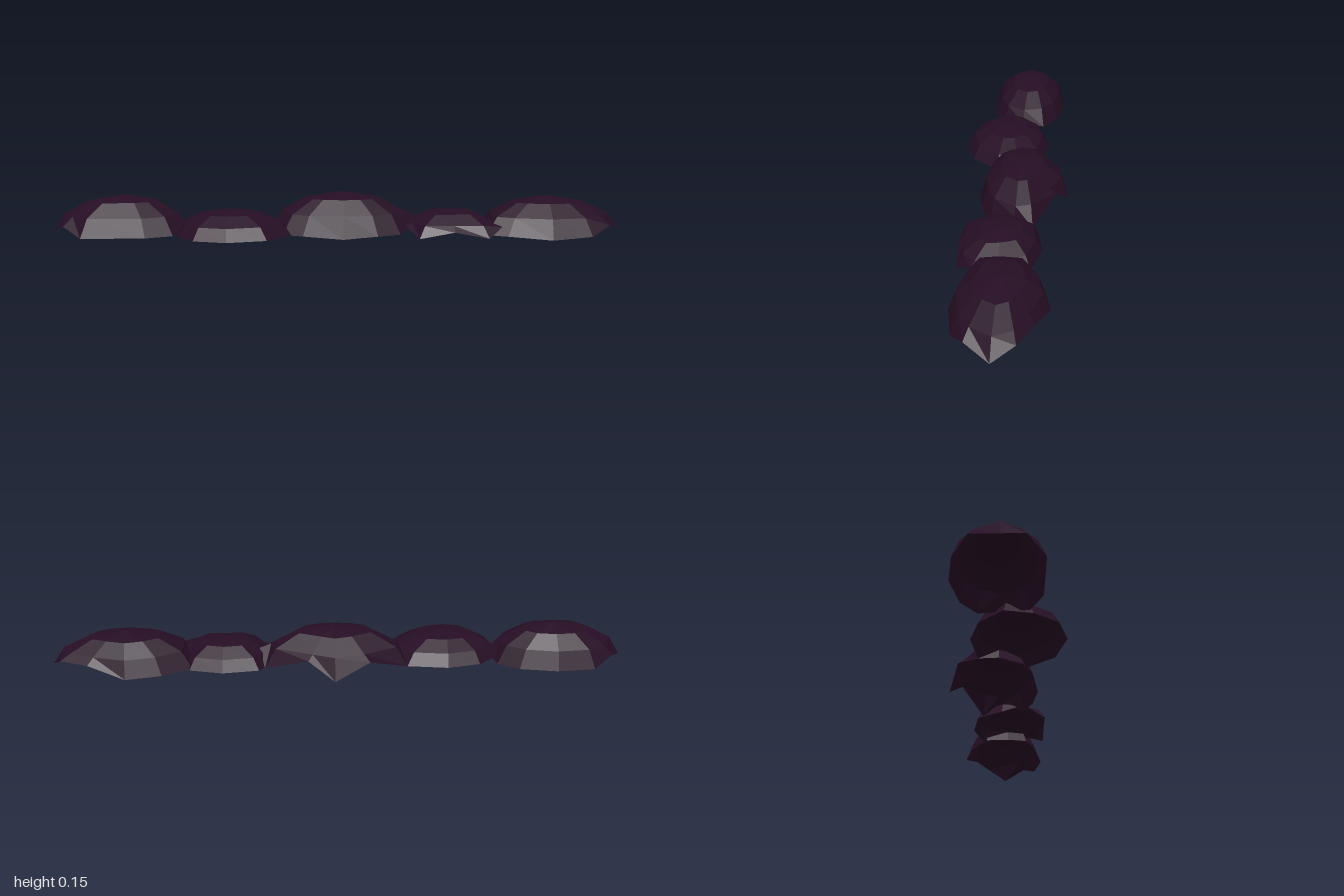
import * as THREE from 'three';

// Shell rings from crown to hem: share of the radius, share of the height
const RINGS = [[0.5, 0.85], [0.84, 0.52]];
const HEM = 0.008;

// Each pad: crown [x, y, z] and its hem clockwise from above as [x, z, raised y]
const PADS = [
  {
    name: 'rightEndPad', crown: [-0.75, 0.14, -0.02],
    hem: [[-1, 0], [-0.95, -0.09, 0.04], [-0.88, -0.14], [-0.75, -0.155], [-0.62, -0.13], [-0.55, -0.08],
      [-0.52, 0, 0.03], [-0.57, 0.08], [-0.66, 0.12], [-0.88, 0.125], [-0.95, 0.07, 0.04]],
  },
  {
    name: 'rightInnerPad', crown: [-0.38, 0.098, 0.04],
    hem: [[-0.57, 0], [-0.49, -0.08], [-0.375, -0.11], [-0.235, -0.09], [-0.17, -0.01, 0.03], [-0.16, 0.07],
      [-0.24, 0.165], [-0.375, 0.2], [-0.49, 0.17], [-0.55, 0.09]],
  },
  {
    name: 'middlePad', crown: [0.02, 0.148, -0.035],
    hem: [[-0.235, -0.09], [-0.1, -0.165, 0.055], [0.02, -0.2, 0], [0.11, -0.16, 0.06], [0.26, -0.09],
      [0.28, -0.03, 0.06], [0.22, 0.06], [0.14, 0.095], [0.02, 0.11, 0], [-0.12, 0.09], [-0.19, 0.06], [-0.24, -0.02]],
  },
  {
    name: 'leftInnerPad', crown: [0.4, 0.094, 0],
    hem: [[0.28, -0.11], [0.405, -0.13], [0.52, -0.1], [0.56, 0, 0.03], [0.57, 0.085, 0.04], [0.52, 0.135],
      [0.4, 0.138, 0.03], [0.28, 0.14], [0.235, 0.06, 0.04], [0.22, -0.02]],
  },
  {
    name: 'leftEndPad', crown: [0.74, 0.133, -0.03],
    hem: [[0.51, -0.085], [0.61, -0.145], [0.73, -0.175], [0.86, -0.135, 0.045], [0.96, -0.09, 0.045], [1, -0.02],
      [0.95, 0.06, 0.04], [0.88, 0.105], [0.74, 0.13, 0], [0.59, 0.1], [0.52, 0.07], [0.505, 0]],
  },
];

// Open faceted dome: crown point, inner rings, then the jagged hem
function domeGeometry({ crown, hem }) {
  const [cx, cy, cz] = crown;
  const n = hem.length;
  const positions = [cx, cy, cz];
  const index = [];
  for (const [reach, height] of RINGS) {
    for (const [x, z] of hem) {
      positions.push(cx + (x - cx) * reach, cy * height, cz + (z - cz) * reach);
    }
  }
  for (const [x, z, y = HEM] of hem) positions.push(x, y, z);

  for (let i = 0; i < n; i++) {
    const j = (i + 1) % n;
    index.push(0, 1 + j, 1 + i);
    for (let r = 0; r < RINGS.length; r++) {
      const a = 1 + r * n;
      const b = a + n;
      index.push(a + i, a + j, b + i, a + j, b + j, b + i);
    }
  }
  const geometry = new THREE.BufferGeometry();
  geometry.setAttribute('position', new THREE.Float32BufferAttribute(positions, 3));
  geometry.setIndex(index);
  geometry.computeVertexNormals();
  return geometry;
}

export function createModel() {
  const model = new THREE.Group();
  model.name = 'padChain';
  const darkPlum = new THREE.MeshStandardMaterial({ color: 0x260e24, flatShading: true, side: THREE.DoubleSide });
  darkPlum.name = 'darkPlum';

  for (const pad of PADS) {
    const mesh = new THREE.Mesh(domeGeometry(pad), darkPlum);
    mesh.name = pad.name;
    model.add(mesh);
  }
  return model;
}
